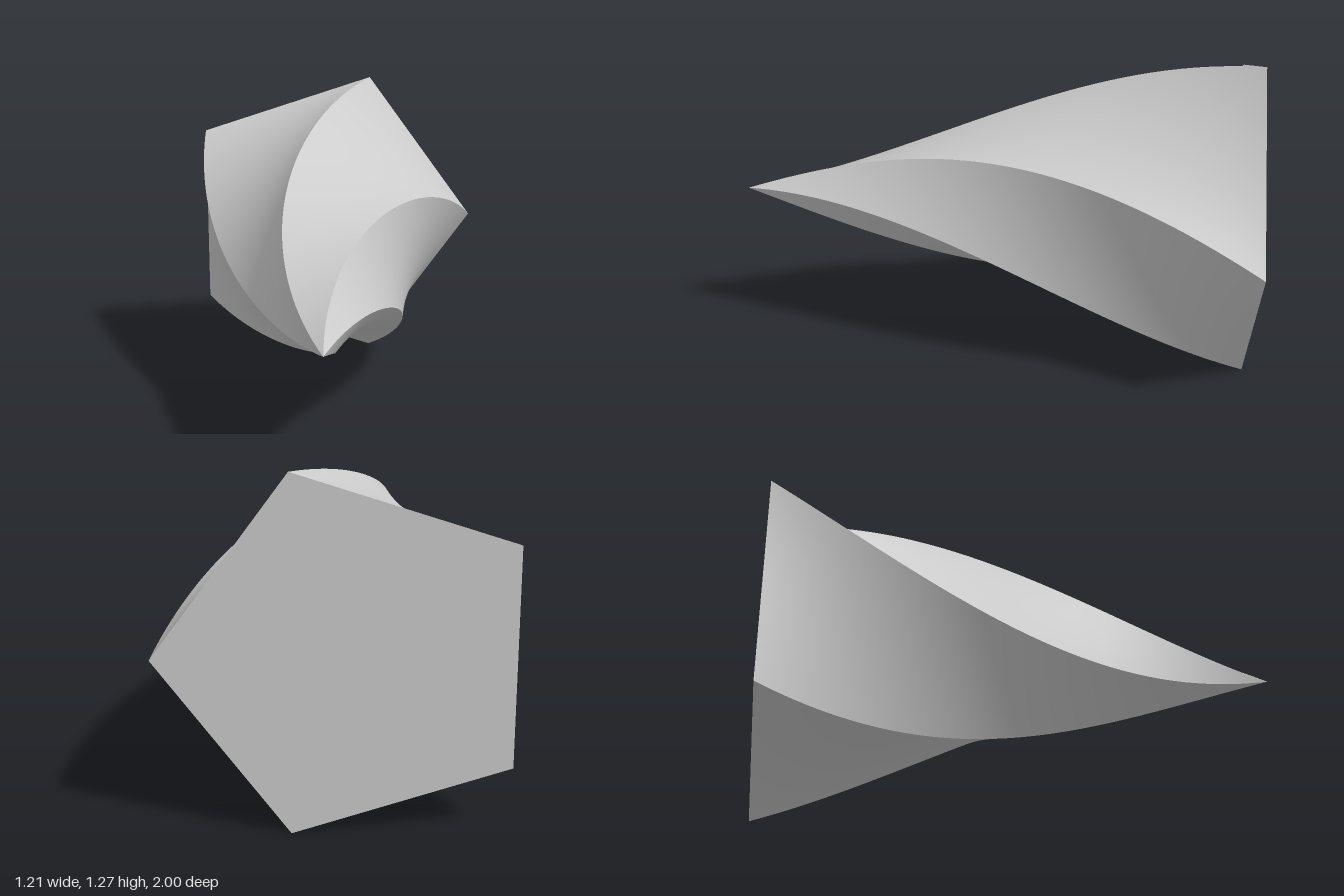
import * as THREE from 'three';

const SIDES = 5;
const RADIUS = 2 / 3;
const TWIST = Math.PI / 2; // quarter turn from base to tip
const LAYERS = 128;

// One ruled side: a straight chord that shrinks and turns towards the tip
function twistedSide(index) {
  const geometry = new THREE.PlaneGeometry(1, 1, 10, LAYERS);
  const { position, uv } = geometry.attributes;
  const step = (Math.PI * 2) / SIDES;
  for (let i = 0; i < position.count; i++) {
    const u = uv.getX(i);
    const t = uv.getY(i);
    const r = RADIUS * (1 - t);
    const a = index * step + TWIST * t;
    const b = a + step;
    position.setXYZ(
      i,
      r * THREE.MathUtils.lerp(Math.cos(a), Math.cos(b), u),
      r * THREE.MathUtils.lerp(Math.sin(a), Math.sin(b), u),
      2 * t - 1
    );
  }
  geometry.computeVertexNormals();
  return geometry;
}

export function createModel() {
  const group = new THREE.Group();
  group.name = 'twistedPyramid';
  const grey = new THREE.MeshStandardMaterial({ color: 0xcccccc });
  grey.name = 'light grey';

  // Five twisted sides meeting at sharp spiral edges
  for (let i = 0; i < SIDES; i++) {
    const side = new THREE.Mesh(twistedSide(i), grey);
    side.name = `twistedSide${i + 1}`;
    group.add(side);
  }

  // Flat pentagonal base at the back
  const base = new THREE.Mesh(new THREE.CircleGeometry(RADIUS, SIDES).rotateX(Math.PI), grey);
  base.name = 'base';
  base.position.z = -1;
  group.add(base);

  // Centre the width and rest the lowest corner on the ground
  const halfWidth = (RADIUS * (1 + Math.cos(Math.PI / SIDES))) / 2;
  group.position.set(halfWidth - RADIUS, RADIUS * Math.sin((2 * Math.PI) / SIDES), 0);
  return group;
}
